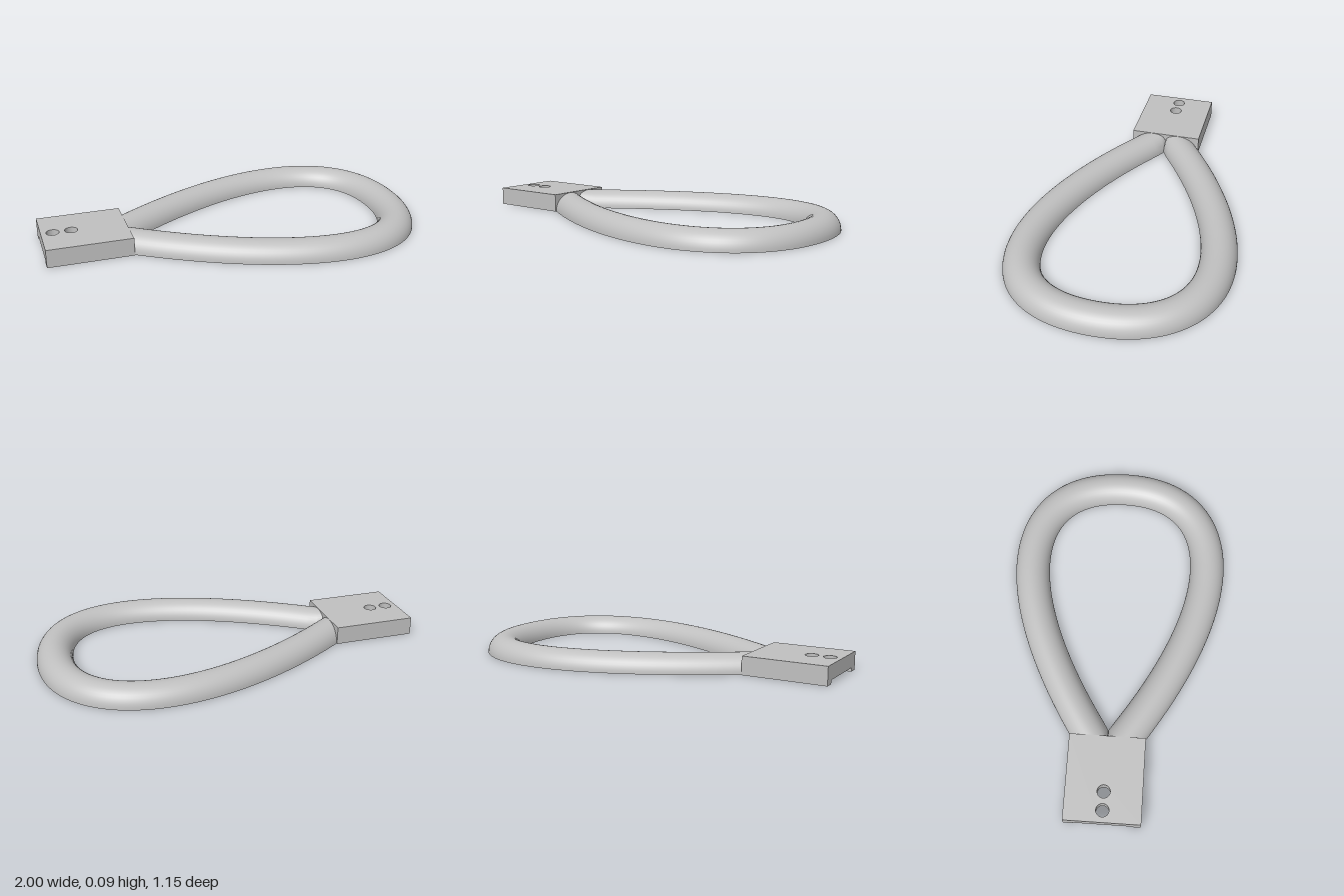
import * as THREE from 'three';

export function createModel() {
  const group = new THREE.Group();
  const grey = new THREE.MeshStandardMaterial({ color: 0xc0c0c0 });
  grey.name = 'light grey';
  const add = (name, geometry, parent = group) => {
    const mesh = new THREE.Mesh(geometry, grey);
    mesh.name = name;
    parent.add(mesh);
  };

  // Teardrop centre line: one half curve, walked out and back mirrored
  const half = new THREE.CubicBezierCurve(
    new THREE.Vector2(-0.67, 0), new THREE.Vector2(0.25, 0.69),
    new THREE.Vector2(0.905, 0.6), new THREE.Vector2(0.905, 0));
  const STEPS = 56;
  const rings = [];
  for (let i = 0; i <= 2 * STEPS; i++) {
    const side = i <= STEPS ? 1 : -1;
    const t = side > 0 ? i / STEPS : 2 - i / STEPS;
    const p = half.getPoint(t), d = half.getTangent(t);
    rings.push({ x: p.x, z: p.y * side, nx: -d.y, nz: d.x * side, side });
  }

  // Sweep a strip of [offset, height] points; the arms are trimmed where they meet at z = 0
  function sweep(profile) {
    const pos = [], index = [], n = profile.length;
    for (const r of rings) {
      for (const [u, y] of profile) {
        const z = r.z + r.nz * u;
        pos.push(r.x + r.nx * u, y, r.side * Math.max(0, z * r.side));
      }
    }
    const onSeam = (k) => Math.abs(pos[k * 3 + 2]) < 1e-9;
    for (let i = 0; i < rings.length - 1; i++) {
      for (let j = 0; j < n - 1; j++) {
        const a = i * n + j, b = a + n;
        if ([a, a + 1, b, b + 1].every(onSeam)) continue;
        index.push(a, b, a + 1, b, b + 1, a + 1);
      }
    }
    const geometry = new THREE.BufferGeometry();
    geometry.setAttribute('position', new THREE.Float32BufferAttribute(pos, 3));
    geometry.setIndex(index);
    geometry.computeVertexNormals();
    return geometry;
  }
  const arc = (radius, steps) => Array.from({ length: steps + 1 }, (_, k) => {
    const a = Math.PI * k / steps;
    return [radius * Math.cos(a), Math.abs(radius * Math.sin(a))];
  });

  // Loop: domed top, round channel underneath and two flat rims
  const R = 0.093, r = 0.055;
  const loop = new THREE.Group();
  loop.name = 'loop';
  group.add(loop);
  add('loopDome', sweep(arc(R, 20)), loop);
  add('loopChannel', sweep(arc(r, 14).reverse()), loop);
  add('innerRim', sweep([[-R, 0], [-r, 0]]), loop);
  add('outerRim', sweep([[r, 0], [R, 0]]), loop);

  // Block: stacked layers with screw holes, a shallow end recess and the channel mouth
  const block = new THREE.Group();
  block.name = 'block';
  group.add(block);
  const L = -1, E = -0.565, W = 0.195;
  const mouth = [[E, -0.145], [-0.703, -0.044], [-0.703, 0.044], [E, 0.145]];
  const recess = [[L, 0.145], [-0.78, 0.145], [-0.78, -0.145], [L, -0.145]];

  function layer(name, y0, y1, hasRecess, hasMouth) {
    const outline = [
      [L, -W], [E, -W], ...(hasMouth ? mouth : []),
      [E, W], [L, W], ...(hasRecess ? recess : []),
    ];
    const shape = new THREE.Shape(outline.map(([x, y]) => new THREE.Vector2(x, y)));
    if (!hasRecess) {
      for (const x of [-0.94, -0.847]) {
        shape.holes.push(new THREE.Path().absarc(x, 0, 0.033, 0, Math.PI * 2, true));
      }
    }
    const geometry = new THREE.ExtrudeGeometry(shape, { depth: y1 - y0, bevelEnabled: false, curveSegments: 24 });
    geometry.rotateX(-Math.PI / 2).translate(0, y0, 0);
    add(name, geometry, block);
  }
  layer('blockBase', 0, 0.02, true, true);
  layer('blockMiddle', 0.02, 0.06, false, true);
  layer('blockTop', 0.06, 0.095, false, false);

  return group;
}
